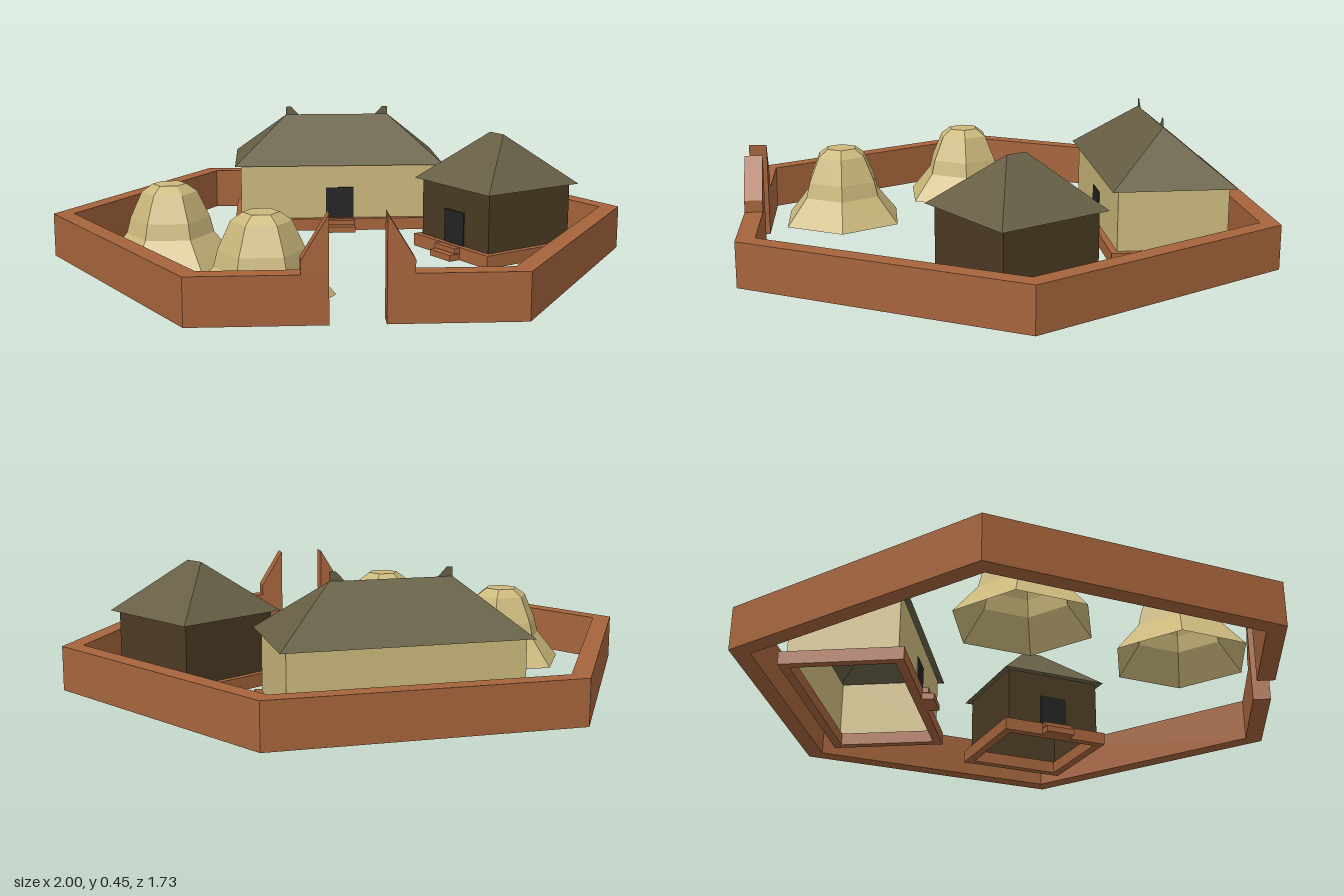
import * as THREE from 'three';

const mat = (color) => new THREE.MeshStandardMaterial({ color, flatShading: true, side: THREE.DoubleSide });
const clay = mat(0xa5643c);
const thatch = mat(0x665f45);
const straw = mat(0xcbb87c);
const darkWood = mat(0x4a3a22);
const doorDark = mat(0x242222);

function add(parent, name, geometry, material, x = 0, y = 0, z = 0) {
  const mesh = new THREE.Mesh(geometry, material);
  mesh.name = name;
  mesh.position.set(x, y, z);
  parent.add(mesh);
  return mesh;
}

const shapeOf = (pts) => new THREE.Shape(pts.map(([x, y]) => new THREE.Vector2(x, y)));
const rect = (hx, hz) => [[-hx, -hz], [hx, -hz], [hx, hz], [-hx, hz]];

// Extrude a ground plan (x, z) upwards from y = 0
function extrudeUp(plan, height, hole) {
  const shape = shapeOf(plan.map(([x, z]) => [x, -z]));
  if (hole) shape.holes.push(shapeOf(hole));
  return new THREE.ExtrudeGeometry(shape, { depth: height, bevelEnabled: false }).rotateX(-Math.PI / 2);
}

// Hip roof: rectangular eaves rising to a ridge along x, open below
function hipRoof(hx, hz, ridge, rise) {
  const a = [-hx, 0, hz], b = [hx, 0, hz], c = [hx, 0, -hz], d = [-hx, 0, -hz];
  const l = [-ridge, rise, 0], r = [ridge, rise, 0];
  const faces = [a, b, r, a, r, l, c, d, l, c, l, r, b, c, r, d, a, l];
  const geo = new THREE.BufferGeometry();
  geo.setAttribute('position', new THREE.Float32BufferAttribute(faces.flat(), 3));
  geo.computeVertexNormals();
  return geo;
}

// House on a frame platform, with front door and two steps facing local +z
function house(name, hx, hz, ridge, wallMaterial) {
  const g = new THREE.Group();
  g.name = name;
  const over = 0.022, base = 0.045, eave = 0.25;
  const wx = hx - over, wz = hz - over;
  add(g, 'platform', extrudeUp(rect(hx, hz), base, rect(wx - 0.01, wz - 0.01)), clay);

  // Four thin walls, open at top and bottom
  const h = eave - base;
  for (const s of [-1, 1]) {
    add(g, 'longWall', new THREE.PlaneGeometry(wx * 2, h), wallMaterial, 0, base + h / 2, s * wz)
      .rotation.y = s > 0 ? 0 : Math.PI;
    add(g, 'endWall', new THREE.PlaneGeometry(wz * 2, h), wallMaterial, s * wx, base + h / 2, 0)
      .rotation.y = s * Math.PI / 2;
  }
  add(g, 'roof', hipRoof(hx, hz, ridge, 0.17), thatch, 0, eave, 0);
  add(g, 'door', new THREE.BoxGeometry(0.105, 0.118, 0.008), doorDark, 0, base + 0.059, wz);
  add(g, 'upperStep', new THREE.BoxGeometry(0.112, 0.018, 0.022), clay, 0, 0.034, hz + 0.011);
  add(g, 'lowerStep', new THREE.BoxGeometry(0.112, 0.022, 0.042), clay, 0, 0.011, hz + 0.021);
  return g;
}

export function createModel() {
  const model = new THREE.Group();
  model.name = 'walledVillage';

  // Hexagonal compound wall, open at the front gate
  const gap = 0.083, outerR = 1, innerR = 0.93, wallH = 0.15, s = Math.sqrt(3) / 2;
  const ring = (r) => {
    const pts = [[gap, r * s]];
    for (let i = 0; i < 6; i++) {
      const a = Math.PI / 3 - i * Math.PI / 3;
      pts.push([r * Math.cos(a), r * Math.sin(a)]);
    }
    pts.push([-gap, r * s]);
    return pts;
  };
  add(model, 'compoundWall', extrudeUp([...ring(outerR), ...ring(innerR).reverse()], wallH), clay);

  // Pointed gate posts on both sides of the opening
  for (const side of [-1, 1]) {
    const post = shapeOf([[gap, wallH], [0.165, wallH], [0.165, 0.19], [gap, 0.325]].map(([x, y]) => [side * x, y]));
    const geo = new THREE.ExtrudeGeometry(post, { depth: (outerR - innerR) * s, bevelEnabled: false });
    add(model, 'gatePost', geo, clay, 0, 0, innerR * s);
  }

  // Longhouse with flat horns at the ridge ends
  const longhouse = house('longhouse', 0.396, 0.207, 0.198, straw);
  longhouse.position.set(0.02, 0, -0.537);
  for (const side of [-1, 1]) {
    const horn = shapeOf([[0.15, 0.42], [0.198, 0.42], [0.198, 0.45], [0.178, 0.45]].map(([x, y]) => [side * x, y]));
    add(longhouse, 'ridgeHorn', new THREE.ShapeGeometry(horn), thatch);
  }
  model.add(longhouse);

  // Square house turned towards the courtyard
  const squareHouse = house('squareHouse', 0.204, 0.204, 0.036, darkWood);
  squareHouse.position.set(0.553, 0, 0.001);
  squareHouse.rotation.y = -Math.PI / 3;
  model.add(squareHouse);

  // Six-sided bell-shaped straw huts, open below
  const profile = [[0.23, 0], [0.15, 0.096], [0.136, 0.15], [0.095, 0.24], [0.057, 0.267], [0, 0.267]]
    .map(([r, y]) => new THREE.Vector2(r, y));
  for (const [x, z] of [[-0.59, 0.075], [-0.275, 0.55]]) {
    add(model, 'strawHut', new THREE.LatheGeometry(profile, 6, Math.PI / 2), straw, x, 0, z);
  }
  return model;
}
